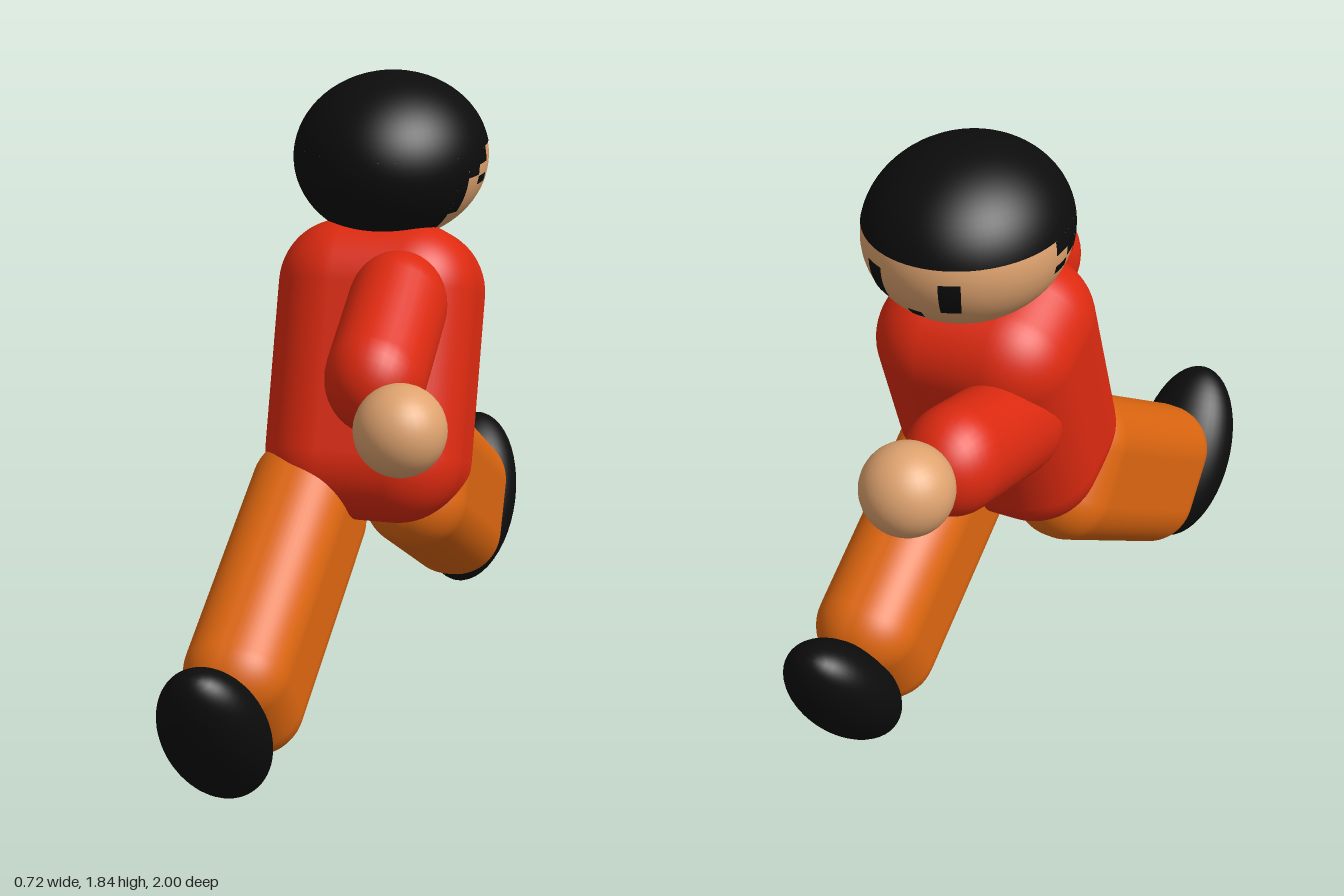
import * as THREE from 'three';
import { RoundedBoxGeometry } from 'three/addons/geometries/RoundedBoxGeometry.js';

const material = (color) => new THREE.MeshStandardMaterial({ color });
const rad = THREE.MathUtils.degToRad;

export function createModel() {
  const model = new THREE.Group();
  const red = material(0xdd2a10);
  const orange = material(0xdd6610);
  const skin = material(0xdfa36f);
  const black = material(0x0c0c0c);

  function add(name, geometry, mat, position, parent = model) {
    const mesh = new THREE.Mesh(geometry, mat);
    mesh.name = name;
    mesh.position.set(...position);
    parent.add(mesh);
    return mesh;
  }

  // Places a part whose long axis is z between two points
  function between(name, a, b, mat, makeGeometry) {
    const from = new THREE.Vector3(...a);
    const to = new THREE.Vector3(...b);
    const middle = from.clone().lerp(to, 0.5);
    const mesh = add(name, makeGeometry(from.distanceTo(to)), mat, middle.toArray());
    mesh.lookAt(to);
    return mesh;
  }

  // Torso, leaning forward (towards -z)
  const torso = add('torso', new RoundedBoxGeometry(0.575, 0.86, 0.5, 8, 0.19), red, [0.015, 1.0, -0.085]);
  torso.rotation.x = rad(-20);

  // Arms and hands
  const sleeve = (length) =>
    new THREE.CapsuleGeometry(0.153, length, 10, 32).rotateX(Math.PI / 2).scale(0.9, 1, 1);
  between('rearArm', [0.125, 1.26, 0.12], [0.125, 1.13, 0.38], red, sleeve);
  between('frontArm', [-0.12, 1.02, -0.28], [-0.12, 1.13, -0.63], red, sleeve);
  add('rearHand', new THREE.SphereGeometry(0.125, 32, 20), skin, [0.235, 1.05, 0.565]);
  add('frontHand', new THREE.SphereGeometry(0.125, 32, 20), skin, [-0.105, 1.19, -0.872]);

  // Legs
  const trouser = (length) => new RoundedBoxGeometry(0.3, 0.44, length, 8, 0.14);
  between('rearLeg', [-0.13, 0.72, -0.03], [-0.2, 0.205, 0.72], orange, trouser);
  between('frontLeg', [0.148, 0.775, 0.05], [0.148, 0.345, -0.735], orange, trouser);

  // Feet: flattened ellipsoids with the toes raised outwards
  function foot(name, position, tilt) {
    const geometry = new THREE.SphereGeometry(1, 40, 24).scale(0.152, 0.28, 0.12);
    add(name, geometry, black, position).rotation.x = rad(tilt);
  }
  foot('rearFoot', [-0.212, 0.24, 0.81], 35);
  foot('frontFoot', [0.15, 0.372, -0.808], -35);

  // Head, turned slightly to +x
  const head = new THREE.Group();
  head.name = 'head';
  head.position.set(0.02, 1.6, -0.257);
  head.rotation.y = rad(-5);
  model.add(head);
  const size = [0.278, 0.24, 0.309];
  add('face', new THREE.SphereGeometry(0.995, 64, 40).scale(...size), skin, [0, 0, 0], head);

  // Painted patch on the head: longitude from the nose, latitude from the middle, in degrees
  function patch(name, lon0, lon1, lat0, lat1) {
    const across = Math.max(2, Math.ceil((lon1 - lon0) / 5));
    const down = Math.max(2, Math.ceil((lat1 - lat0) / 5));
    const geometry = new THREE.SphereGeometry(1.002, across, down,
      rad(270 - lon1), rad(lon1 - lon0), rad(90 - lat1), rad(lat1 - lat0));
    add(name, geometry.scale(...size), black, [0, 0, 0], head);
  }
  patch('hairTop', -180, 180, 10, 90);
  patch('hairBack', 118, 242, -90, 10);
  patch('mouth', -20, 20, -57, -50);
  patch('nose', -5, 5, -36, -28);

  // Mirrored features: stepped hairline, ear mark, eye, mouth corner
  const features = [
    ['hairSide', 87, 98, 0, 10],
    ['hairSide', 98, 109, -7, 10],
    ['hairSide', 109, 118, -33, 10],
    ['earMark', 87, 98, -14, -8],
    ['eye', 18, 30, -24, 0],
    ['mouthCorner', 18, 28, -60, -53],
  ];
  for (const [name, lon0, lon1, lat0, lat1] of features) {
    patch(name + 'Left', lon0, lon1, lat0, lat1);
    patch(name + 'Right', -lon1, -lon0, lat0, lat1);
  }

  return model;
}
